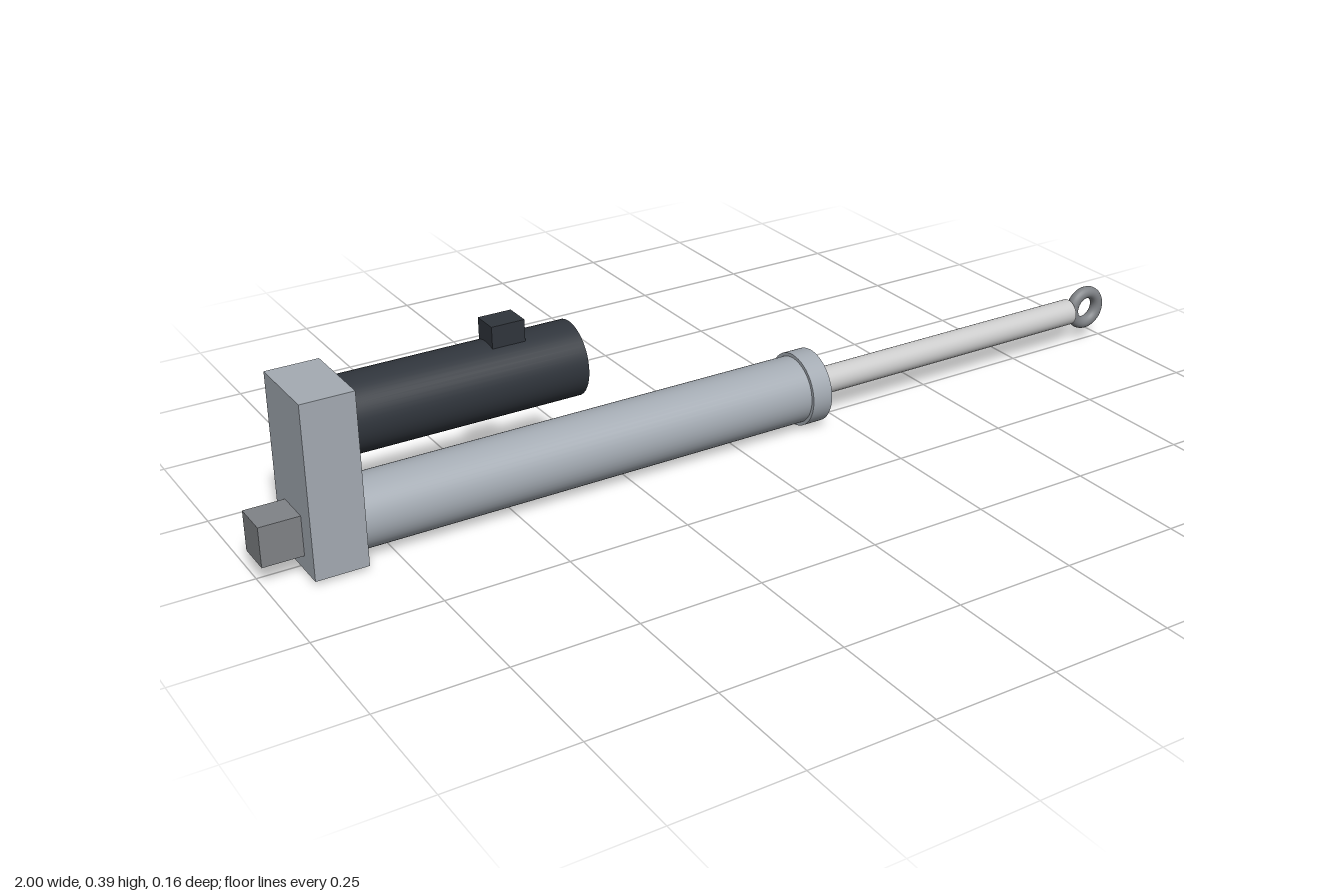
import * as THREE from 'three';

const AXIS_Y = 0.077; // height of the cylinder axis
const MOTOR_Y = 0.275; // height of the motor axis

const paint = (color) => new THREE.MeshStandardMaterial({ color });

export function createModel() {
  const group = new THREE.Group();
  group.name = 'linearActuator';

  const silver = paint(0xa4abb3);
  const dark = paint(0x30353c);
  const steel = paint(0x808387);
  const chrome = paint(0xd0d1d4);

  const add = (name, geometry, material, x, y) => {
    const mesh = new THREE.Mesh(geometry, material);
    mesh.name = name;
    mesh.position.set(x, y, 0);
    group.add(mesh);
  };
  // Box and round bar given by their extents along x
  const block = (name, x0, x1, y0, y1, depth, material) =>
    add(name, new THREE.BoxGeometry(x1 - x0, y1 - y0, depth), material, (x0 + x1) / 2, (y0 + y1) / 2);
  const bar = (name, x0, x1, y, radius, material) =>
    add(name, new THREE.CylinderGeometry(radius, radius, x1 - x0, 48).rotateZ(-Math.PI / 2), material, (x0 + x1) / 2, y);

  // Rear mount and gearbox
  block('rearMount', -1, -0.92, 0.04, 0.121, 0.075, steel);
  block('gearbox', -0.92, -0.816, 0.008, 0.356, 0.162, silver);

  // Motor with its cable connector
  bar('motor', -0.817, -0.353, MOTOR_Y, 0.074, dark);
  block('connector', -0.526, -0.459, 0.335, 0.387, 0.055, dark);

  // Outer tube, end collar and sliding rod
  bar('outerTube', -0.817, 0.19, AXIS_Y, 0.07, silver);
  bar('endCollar', 0.158, 0.203, AXIS_Y, 0.077, silver);
  bar('rod', 0.19, 0.902, AXIS_Y, 0.0285, chrome);

  // Rod eye
  add('rodEye', new THREE.TorusGeometry(0.0355, 0.0135, 20, 48), steel, 0.951, AXIS_Y);

  return group;
}
